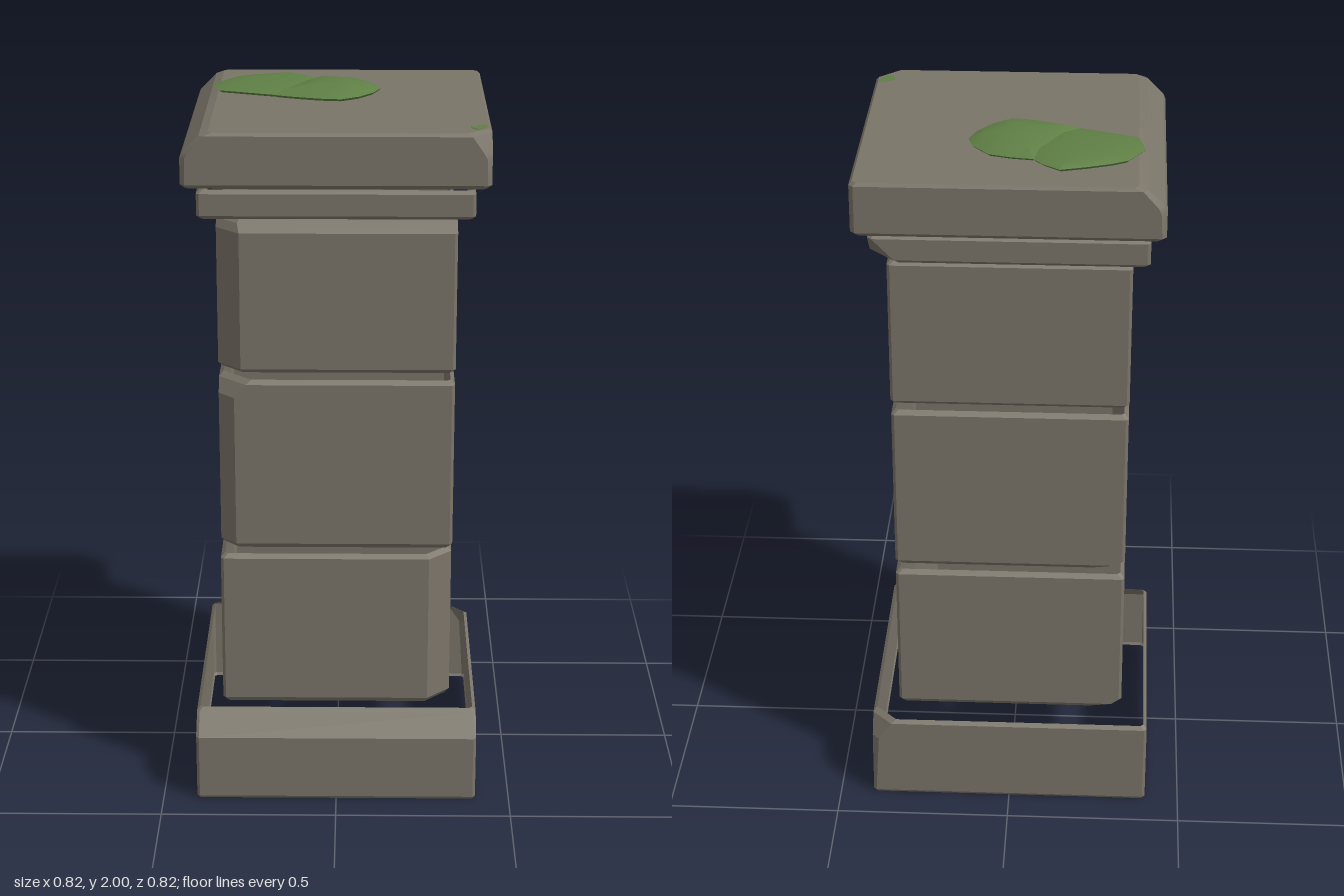
import * as THREE from 'three';
import { toCreasedNormals } from 'three/addons/utils/BufferGeometryUtils.js';

// Skin a stack of equal-length loops (counter-clockwise from above), optionally closing the ends
function skin(loops, capTop, capBottom) {
  const pos = [];
  const tri = (...p) => p.forEach((v) => pos.push(...v));
  const n = loops[0].length;
  for (let k = 0; k < loops.length - 1; k++) {
    const a = loops[k], b = loops[k + 1];
    for (let i = 0; i < n; i++) {
      const j = (i + 1) % n;
      tri(a[i], a[j], b[j]);
      tri(a[i], b[j], b[i]);
    }
  }
  const fan = (loop, up) => {
    const c = [0, 1, 2].map((k) => loop.reduce((s, p) => s + p[k], 0) / n);
    for (let i = 0; i < n; i++) {
      const j = (i + 1) % n;
      if (up) tri(c, loop[i], loop[j]);
      else tri(c, loop[j], loop[i]);
    }
  };
  if (capTop) fan(loops[loops.length - 1], true);
  if (capBottom) fan(loops[0], false);
  const g = new THREE.BufferGeometry();
  g.setAttribute('position', new THREE.Float32BufferAttribute(pos, 3));
  return toCreasedNormals(g, 0.35);
}

// Square loop with cut corners.
// inset: [+x, +z, -x, -z]; cut: corners [+x+z, +x-z, -x-z, -x+z]
function squareLoop(half, y, inset, cut) {
  const [px, pz, nx, nz] = [half - inset[0], half - inset[1], -half + inset[2], -half + inset[3]];
  const [a, b, c, d] = cut;
  return [
    [px - a, y, pz], [px, y, pz - a],
    [px, y, nz + b], [px - b, y, nz],
    [nx + c, y, nz], [nx, y, nz + c],
    [nx, y, pz - d], [nx + d, y, pz],
  ];
}

const all = (v) => [v, v, v, v];

export function createModel() {
  const group = new THREE.Group();
  const stone = new THREE.MeshStandardMaterial({ color: 0x7a7468, side: THREE.DoubleSide });
  stone.name = 'stone';
  const moss = new THREE.MeshStandardMaterial({ color: 0x5f7f45, side: THREE.DoubleSide });
  moss.name = 'moss';

  const add = (name, geometry, material) => {
    const mesh = new THREE.Mesh(geometry, material);
    mesh.name = name;
    group.add(mesh);
  };
  // Each level: [y, insets, corner cuts]
  const course = (name, half, levels, capTop = false) =>
    add(name, skin(levels.map(([y, i, c]) => squareLoop(half, y, i, c)), capTop, false), stone);

  const e = 0.008; // worn edge width

  // Hollow plinth: wide front chamfer, one chipped rear corner
  course('plinth', 0.403, [
    [0, all(0.004), all(e)],
    [0.008, all(0), all(e)],
    [0.195, all(0), [e, 0.02, e, e]],
    [0.25, [0, 0.06, 0, 0], [e, 0.058, e, e]],
    [0.26, [0.01, 0.07, 0.01, 0.01], [e, 0.062, e, e]],
  ]);

  // Hollow shaft blocks, each with its own broken edges
  course('lowerBlock', 0.327, [
    [0.272, all(0.012), [0.06, e, 0.08, e]],
    [0.288, all(0), [0.065, e, 0.03, e]],
    [0.305, all(0), [0.065, e, e, e]],
    [0.723, all(0), [0.065, e, e, e]],
    [0.735, all(0.012), [0.06, e, e, e]],
  ]);
  course('middleBlock', 0.327, [
    [0.755, all(0.012), [e, e, 0.08, 0.042]],
    [0.77, all(0), [e, e, 0.03, 0.045]],
    [0.785, all(0), [e, e, e, 0.045]],
    [1.205, all(0), [e, e, e, 0.045]],
    [1.243, all(0), [e, e, e, 0.078]],
    [1.255, all(0.012), [e, e, e, 0.08]],
  ]);
  course('upperBlock', 0.328, [
    [1.277, all(0.012), [e, e, e, 0.06]],
    [1.289, all(0), [e, e, e, 0.065]],
    [1.675, all(0), [e, e, e, 0.065]],
    [1.698, [0, 0.022, 0, 0], [e, e, e, 0.06]],
    [1.71, [0.012, 0.036, 0.012, 0.012], [e, e, e, 0.055]],
  ]);

  // Neck moulding with a chipped lower rear corner
  course('neck', 0.373, [
    [1.725, all(0.01), [e, 0.072, e, e]],
    [1.735, all(0), [e, 0.07, e, e]],
    [1.795, all(0), [e, 0.012, e, e]],
    [1.805, all(0.01), all(e)],
  ]);

  // Capstone: left edge chamfered, front left corner chipped
  course('capstone', 0.412, [
    [1.817, all(0.012), all(0.012)],
    [1.829, all(0), all(0.012)],
    [1.9, all(0), [0.014, 0.012, 0.016, 0.014]],
    [1.915, [0, 0, 0.006, 0], [0.022, 0.012, 0.018, 0.016]],
    [1.96, [0, 0, 0.052, 0], [0.054, 0.012, 0.012, 0.012]],
    [1.969, [0.008, 0.006, 0.075, 0.006], [0.058, 0.012, 0.012, 0.012]],
  ], true);

  // Moss cushions: flat outline swelling to a low crown
  const cushion = (name, outline, levels) => {
    const cx = outline.reduce((s, p) => s + p[0], 0) / outline.length;
    const cz = outline.reduce((s, p) => s + p[1], 0) / outline.length;
    const loops = levels.map(([y, s]) =>
      outline.map(([x, z]) => [cx + (x - cx) * s, y, cz + (z - cz) * s]));
    add(name, skin(loops, true, true), moss);
  };
  cushion('mossLeft', [
    [-0.355, -0.17], [-0.335, -0.085], [-0.18, -0.027], [-0.1, -0.06], [-0.04, -0.18],
    [-0.06, -0.25], [-0.085, -0.28], [-0.13, -0.315], [-0.2, -0.294], [-0.265, -0.27], [-0.31, -0.245],
  ], [[1.964, 0.9], [1.976, 1], [1.985, 0.8], [1.99, 0.4]]);
  cushion('mossRight', [
    [-0.18, -0.025], [-0.12, 0], [-0.05, 0.022], [0.01, 0.03], [0.06, -0.005], [0.1, -0.06],
    [0.12, -0.115], [0.105, -0.165], [0.06, -0.22], [0, -0.238], [-0.06, -0.247], [-0.12, -0.16],
  ], [[1.964, 0.9], [1.976, 1], [1.991, 0.75], [2.0, 0.35]]);
  cushion('mossSpeck', [
    [0.355, 0.33], [0.36, 0.355], [0.375, 0.364], [0.398, 0.34], [0.402, 0.305], [0.375, 0.315],
  ], [[1.966, 1], [1.9705, 0.95]]);

  return group;
}
